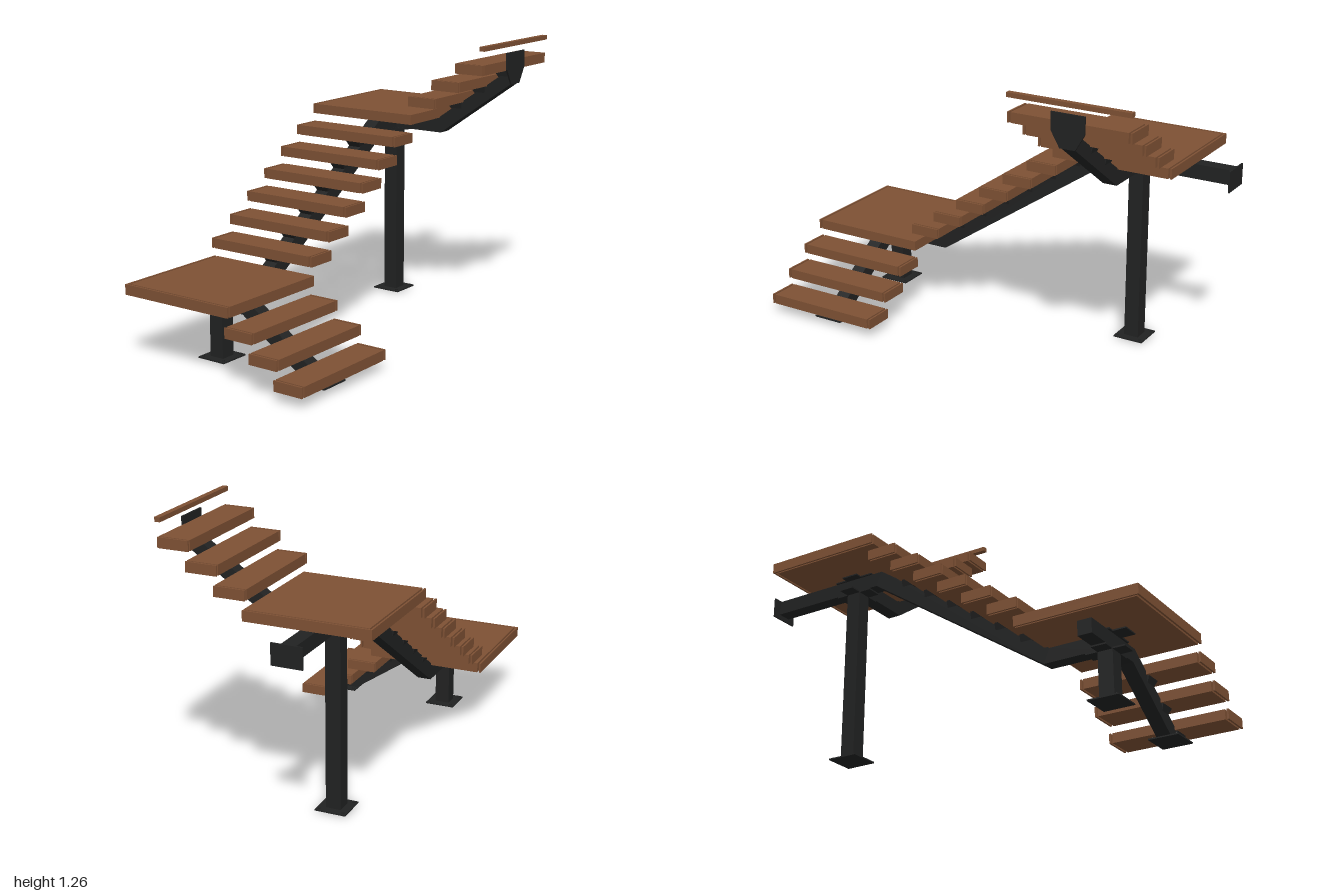
import * as THREE from 'three';

export function createModel() {
  const model = new THREE.Group();
  model.name = 'staircase';
  const wood = new THREE.MeshStandardMaterial({ color: 0x7e5134 });
  wood.name = 'brown wood';
  const steel = new THREE.MeshStandardMaterial({ color: 0x212222 });
  steel.name = 'black steel';

  const add = (parent, name, geometry, material) => {
    const mesh = new THREE.Mesh(geometry, material);
    mesh.name = name;
    parent.add(mesh);
    return mesh;
  };
  // Box given by its limits on each axis
  const box = (parent, name, material, x0, x1, y0, y1, z0, z1) => {
    const mesh = add(parent, name, new THREE.BoxGeometry(x1 - x0, y1 - y0, z1 - z0), material);
    mesh.position.set((x0 + x1) / 2, (y0 + y1) / 2, (z0 + z1) / 2);
    return mesh;
  };
  // Side profile extruded to a width centred on z = 0
  const profile = (points, width) => {
    const shape = new THREE.Shape(points.map(([x, y]) => new THREE.Vector2(x, y)));
    return new THREE.ExtrudeGeometry(shape, { depth: width, bevelEnabled: false })
      .translate(0, 0, -width / 2);
  };

  const HALF = 0.278, TRIM = 0.008, GAP = 0.008, THICK = 0.045;
  const INNER = HALF - TRIM - GAP;

  // Bracket that widens towards the tread
  const bracketGeometry = profile([[0.05, 0], [0.08, -0.045], [0.13, -0.03], [0.13, 0]], 1);
  const pos = bracketGeometry.attributes.position;
  for (let i = 0; i < pos.count; i++) {
    pos.setZ(i, pos.getZ(i) * (0.08 + 0.5 * pos.getY(i)));
  }
  bracketGeometry.computeVertexNormals();

  // One flight: local +x runs uphill
  function flight(name, x, z, turn, beam, count, start, bottom, run, rise) {
    const g = new THREE.Group();
    g.name = name;
    g.position.set(x, 0, z);
    g.rotation.y = turn;
    add(g, 'stringerBeam', profile(beam, 0.064), steel);
    for (let i = 0; i < count; i++) {
      const s = start + i * run, y = bottom + i * rise;
      box(g, 'tread', wood, s, s + 0.14, y, y + THICK, -INNER, INNER);
      box(g, 'treadTrim', wood, s, s + 0.14, y, y + THICK, HALF - TRIM, HALF);
      box(g, 'treadTrim', wood, s, s + 0.14, y, y + THICK, -HALF, TRIM - HALF);
      add(g, 'treadBracket', bracketGeometry, steel).position.set(s, y, 0);
    }
    model.add(g);
  }
  const CX = -0.191, LZ = 0.722, UZ = -0.555;
  flight('lowerFlight', 0, LZ, Math.PI,
    [[-0.27, 0.006], [0.045, 0.22], [0.39, 0.22], [0.39, 0.285], [0.025, 0.285], [-0.39, 0.006]],
    3, -0.455, 0.04, 0.123, 0.083);
  flight('middleFlight', CX, 0, Math.PI / 2,
    [[-0.72, 0.22], [-0.44, 0.22], [0.427, 0.805], [0.995, 0.805], [0.995, 0.87],
      [0.4, 0.87], [-0.467, 0.285], [-0.72, 0.285]],
    6, -0.46, 0.375, 0.1222, 0.0835);
  flight('upperFlight', 0, UZ, 0,
    [[-0.19, 0.805], [0.09, 0.805], [0.46, 1.065], [0.46, 1.135], [0.07, 0.87], [-0.19, 0.87]],
    3, 0.072, 0.96, 0.1235, 0.085);

  // Landings with trims on their two outer sides; side is +1 front, -1 back
  function landing(name, zc, y, side) {
    const g = new THREE.Group();
    g.name = name;
    g.position.set(CX, y, zc);
    const outer = side * INNER, inner = -side * HALF;
    box(g, 'landingBoard', wood, -INNER, HALF, 0, THICK, Math.min(outer, inner), Math.max(outer, inner));
    box(g, 'sideTrim', wood, -HALF, TRIM - HALF, 0, THICK, -HALF, HALF);
    const edge = side * (HALF - TRIM / 2);
    box(g, 'endTrim', wood, -HALF, HALF, 0, THICK, edge - TRIM / 2, edge + TRIM / 2);
    // Fixing plates between beam and board
    box(g, 'fixingPlate', steel, -0.07, 0.1, -0.006, 0, -0.04, 0.04);
    box(g, 'fixingPlate', steel, -0.04, 0.04, -0.006, 0, -0.1, 0.1);
    model.add(g);
  }
  landing('lowerLanding', LZ, 0.291, 1);
  landing('upperLanding', UZ, 0.876, -1);

  // Floor plate with four bolts
  function floorPlate(x, z) {
    box(model, 'floorPlate', steel, x - 0.07, x + 0.07, 0, 0.006, z - 0.07, z + 0.07);
    for (const dx of [-0.055, 0.055]) {
      for (const dz of [-0.055, 0.055]) {
        add(model, 'floorBolt', new THREE.CylinderGeometry(0.006, 0.006, 0.005, 6), steel)
          .position.set(x + dx, 0.0085, z + dz);
      }
    }
  }
  // Posts with floor plate and cap plate
  for (const [z, top] of [[LZ, 0.22], [UZ, 0.805]]) {
    box(model, 'post', steel, CX - 0.034, CX + 0.034, 0, top, z - 0.034, z + 0.034);
    box(model, 'postCap', steel, CX - 0.09, CX + 0.09, top - 0.007, top, z - 0.034, z + 0.034);
    box(model, 'postCap', steel, CX - 0.034, CX + 0.034, top - 0.007, top, z - 0.09, z + 0.09);
    floorPlate(CX, z);
  }
  floorPlate(0.335, LZ);

  // Wall plate behind the upper landing
  box(model, 'wallPlate', steel, CX - 0.068, CX + 0.068, 0.783, 0.876, -1, -0.994);

  // Tapered end plate and the top rail
  const endPlate = add(model, 'endPlate', profile(
    [[-0.035, 1.065], [0.035, 1.065], [0.076, 1.135], [0.076, 1.21], [-0.076, 1.21], [-0.076, 1.135]],
    0.008), steel);
  endPlate.rotation.y = Math.PI / 2;
  endPlate.position.set(0.462, 0, UZ);
  box(model, 'topRail', wood, 0.442, 0.467, 1.237, 1.257, UZ - HALF, UZ + HALF);

  return model;
}
